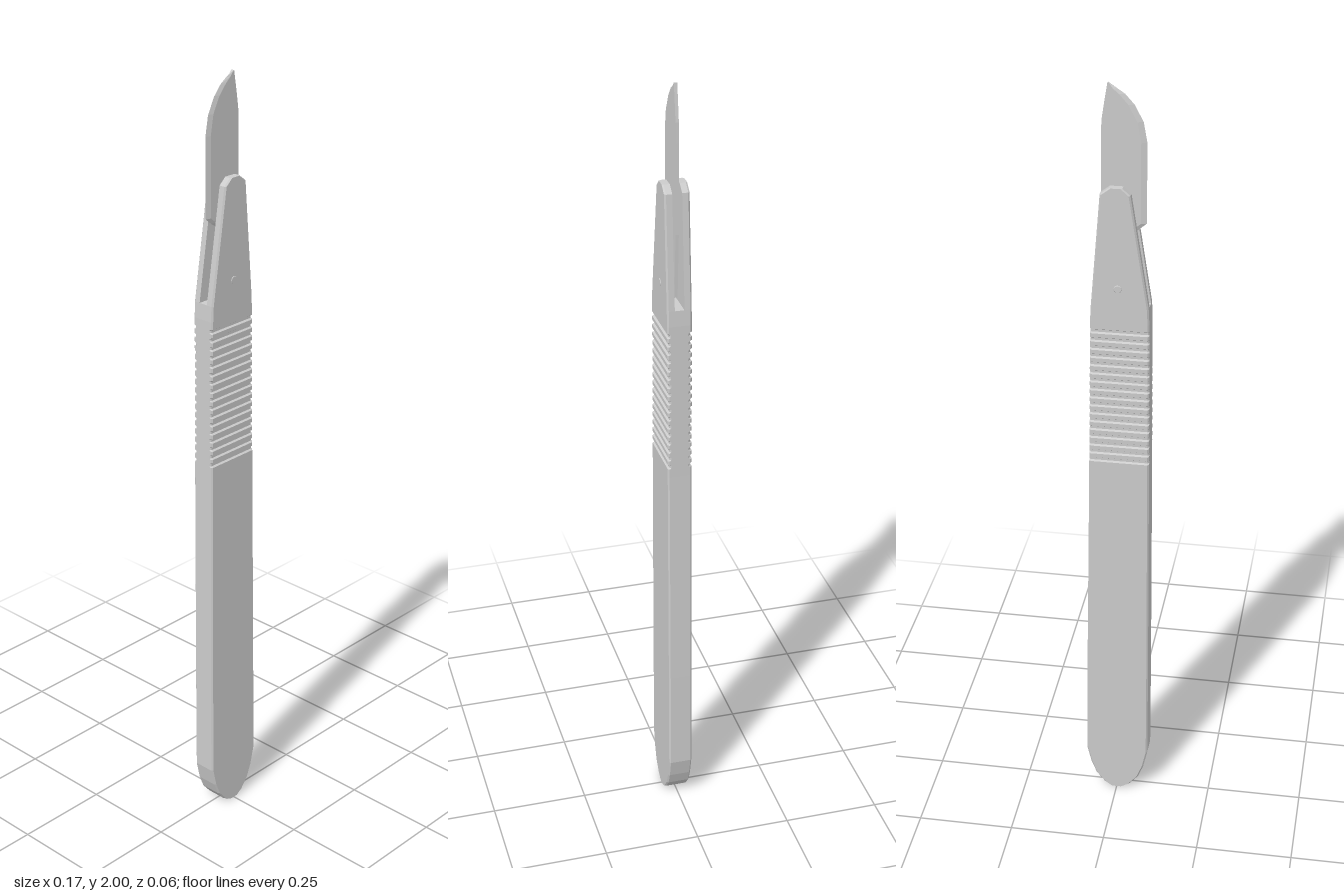
import * as THREE from 'three';

const material = new THREE.MeshStandardMaterial({ color: 0xcccccc, flatShading: true });

// Joins equal-length rings of [x, y, z] (listed front left, front right, back right, back left) into a closed solid.
function loft(name, rings) {
  const pos = [];
  const tri = (a, b, c) => pos.push(...a, ...b, ...c);
  const n = rings[0].length;
  for (let r = 0; r < rings.length - 1; r++) {
    for (let i = 0; i < n; i++) {
      const j = (i + 1) % n, lo = rings[r], hi = rings[r + 1];
      tri(lo[i], lo[j], hi[j]);
      tri(lo[i], hi[j], hi[i]);
    }
  }
  const bottom = rings[0], top = rings[rings.length - 1];
  for (let i = 1; i < n - 1; i++) {
    tri(bottom[0], bottom[i + 1], bottom[i]);
    tri(top[0], top[i], top[i + 1]);
  }
  const geometry = new THREE.BufferGeometry();
  geometry.setAttribute('position', new THREE.Float32BufferAttribute(pos, 3));
  geometry.computeVertexNormals();
  const mesh = new THREE.Mesh(geometry, material);
  mesh.name = name;
  return mesh;
}

// Handle outline: [y, left edge x, right edge x]
const outline = [
  [0, -0.016, 0.016], [0.012, -0.036, 0.034], [0.04, -0.059, 0.056], [0.075, -0.073, 0.07],
  [0.125, -0.084, 0.082], [0.4, -0.084, 0.079], [1.0, -0.082, 0.07], [1.41, -0.08, 0.065],
  [1.45, -0.078, 0.063], [1.738, -0.033, 0.04], [1.755, -0.014, 0.018],
];

function edgesAt(y) {
  const i = Math.max(1, outline.findIndex((row) => row[0] >= y));
  const [a, b] = [outline[i - 1], outline[i]];
  const t = (y - a[0]) / (b[0] - a[0]);
  return [THREE.MathUtils.lerp(a[1], b[1], t), THREE.MathUtils.lerp(a[2], b[2], t)];
}

// Rectangular handle section with optional chamfers on its front and back corners
function section(y, back, front, backBevel, frontBevel) {
  const [l, r] = edgesAt(y);
  const f = frontBevel, b = backBevel;
  return [
    [l, y, front - f], [l + f, y, front], [r - f, y, front], [r, y, front - f],
    [r, y, back + b], [r - b, y, back], [l + b, y, back], [l, y, back + b],
  ];
}

export function createModel() {
  const model = new THREE.Group();
  model.name = 'scalpel';
  const half = 0.031, bevel = 0.004, slot = 0.012, slotBase = 1.45;

  // Handle body, with a row of grip grooves cut across it
  const rows = outline.filter((p) => p[0] <= slotBase).map((p) => [p[0], half]);
  const grooves = 17, pitch = 0.0222, depth = 0.005;
  for (let i = 0; i < grooves; i++) {
    const y = 1.03 + i * pitch;
    rows.push([y - 0.006, half], [y - 0.003, half - depth], [y + 0.003, half - depth], [y + 0.006, half]);
  }
  rows.sort((a, b) => a[0] - b[0]);
  model.add(loft('handle', rows.map(([y, d]) => section(y, -d, d, bevel, bevel))));

  // Two prongs with the blade slot between them
  const prongRows = outline.map((p) => p[0]).filter((y) => y >= slotBase);
  model.add(loft('frontProng', prongRows.map((y) => section(y, slot, half, 0, bevel))));
  model.add(loft('backProng', prongRows.map((y) => section(y, -half, -slot, bevel, 0))));

  // Small rivet heads on both prongs
  for (const side of [1, -1]) {
    const rivet = new THREE.Mesh(new THREE.CylinderGeometry(0.009, 0.011, 0.003, 12), material);
    rivet.name = side > 0 ? 'frontRivet' : 'backRivet';
    rivet.rotation.x = side * Math.PI / 2;
    rivet.position.set(-0.003, 1.5, side * half);
    model.add(rivet);
  }

  // Blade: flat tang, stepped heel, and a curved cutting edge on the model's right
  const bladeRows = [
    [1.47, -0.03, 0.03], [1.635, -0.035, 0.04], [1.645, -0.05, 0.04], [1.66, -0.068, 0.04],
    [1.86, -0.068, 0.04], [1.91, -0.059, 0.039], [1.95, -0.038, 0.033], [1.975, -0.016, 0.029],
    [1.987, 0.002, 0.027], [2.0, 0.023, 0.025],
  ];
  const thick = 0.004;
  model.add(loft('blade', bladeRows.map(([y, l, r]) => {
    const ground = l + Math.min(0.014, (r - l) * 0.4);
    return [[l, y, 0], [ground, y, thick], [r, y, thick], [r, y, -thick], [ground, y, -thick]];
  })));

  return model;
}
